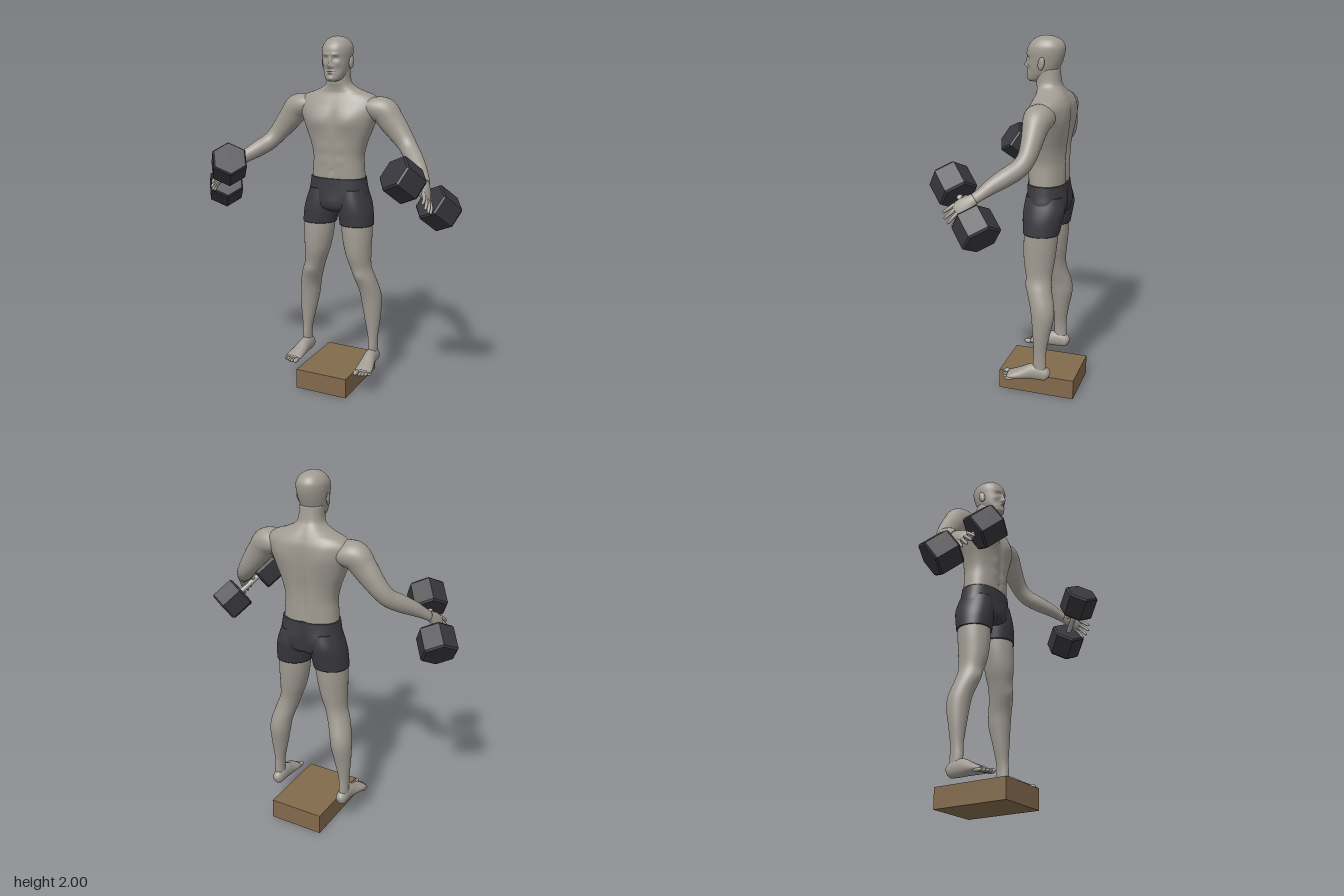
import * as THREE from 'three';

const V = (x, y, z) => new THREE.Vector3(x, y, z);
const material = (name, color) => Object.assign(new THREE.MeshStandardMaterial({ color }), { name });

// Smoothly resample rows of numbers (Catmull-Rom on every column)
function resample(rows, steps) {
  const out = [], last = rows.length - 1;
  const row = i => rows[Math.min(last, Math.max(0, i))];
  for (let k = 0; k <= steps; k++) {
    const t = (k / steps) * last, i = Math.min(last - 1, Math.floor(t)), f = t - i;
    out.push(row(i).map((b, c) => {
      const a = row(i - 1)[c], d = row(i + 1)[c], e = row(i + 2)[c];
      return b + 0.5 * f * (d - a + f * (2 * a - 5 * b + 4 * d - e + f * (3 * (b - d) + e - a)));
    }));
  }
  return out;
}

// Closed skin over rings of points
function skinRings(rings) {
  const n = rings[0].length, m = rings.length, points = rings.flat(), index = [];
  for (let i = 0; i < m - 1; i++) for (let j = 0; j < n; j++) {
    const a = i * n + j, b = i * n + (j + 1) % n;
    index.push(a, a + n, b, a + n, b + n, b);
  }
  [0, m - 1].forEach(r => {
    const c = points.length, base = r * n;
    points.push(rings[r].reduce((s, p) => s.add(p), V(0, 0, 0)).divideScalar(n));
    for (let j = 0; j < n; j++) {
      const a = base + j, b = base + (j + 1) % n;
      r ? index.push(c, b, a) : index.push(c, a, b);
    }
  });
  const g = new THREE.BufferGeometry().setFromPoints(points);
  g.setIndex(index);
  g.computeVertexNormals();
  return g;
}

// Upright form, sections [y, centre x, half width, front z, back z];
// bumps [x, y, spread x, spread y, amount, 1 front / -1 back] model the surface
function upright(sections, { steps = 40, sides = 48, power = 2, bumps = [] } = {}) {
  return skinRings(resample(sections, steps).map(([y, cx, rx, zf, zb]) =>
    Array.from({ length: sides }, (_, j) => {
      const a = (j / sides) * Math.PI * 2, c = Math.cos(a), s = Math.sin(a);
      const round = v => Math.sign(v) * Math.abs(v) ** (2 / power);
      const p = V(cx + rx * round(c), y, (zf + zb) / 2 + (zf - zb) / 2 * round(s));
      for (const [bx, by, sx, sy, amount, face] of bumps) {
        const u = (Math.abs(p.x) - bx) / sx, v = (y - by) / sy;
        p.z += face * amount * Math.max(0, s * face) * Math.exp(-u * u - v * v);
      }
      return p;
    })));
}

// Limb along a path, sections [x, y, z, radius, radius along ref]
function limb(sections, ref, steps = 28, sides = 24) {
  const rows = resample(sections, steps), at = r => V(r[0], r[1], r[2]);
  return skinRings(rows.map((r, i) => {
    const T = at(rows[Math.min(steps, i + 1)]).sub(at(rows[Math.max(0, i - 1)])).normalize();
    const U = T.clone().cross(ref).normalize(), W = U.clone().cross(T);
    return Array.from({ length: sides }, (_, j) => {
      const a = (j / sides) * Math.PI * 2;
      return at(r).addScaledVector(U, r[3] * Math.cos(a)).addScaledVector(W, r[4] * Math.sin(a));
    });
  }));
}

function mirrored(g) {
  const m = g.clone().scale(-1, 1, 1), ix = m.index.array;
  for (let i = 0; i < ix.length; i += 3) [ix[i], ix[i + 1]] = [ix[i + 1], ix[i]];
  return m;
}

export function createModel() {
  const model = new THREE.Group();
  const skin = material('skin', 0xa09b92), cloth = material('shorts cloth', 0x3a393f);
  const iron = material('dark rubber', 0x38373d), steel = material('handle steel', 0xa6a6a2);
  const wood = material('wood', 0x826a4c);
  const add = (name, g, mat) => {
    const mesh = new THREE.Mesh(g, mat);
    mesh.name = name;
    model.add(mesh);
  };
  const pair = (name, g, mat) => {
    add(name + 'Left', g, mat);
    add(name + 'Right', mirrored(g), mat);
  };

  // Wooden block
  add('block', new THREE.BoxGeometry(0.314, 0.115, 0.44).translate(0, 0.0575, -0.11), wood);

  // Torso and neck
  add('torso', upright([
    [1.2, 0, 0.156, -0.032, -0.235], [1.28, 0, 0.15, -0.03, -0.233], [1.35, 0, 0.147, -0.03, -0.233],
    [1.42, 0, 0.163, -0.026, -0.238], [1.48, 0, 0.186, -0.022, -0.246], [1.54, 0, 0.21, -0.022, -0.252],
    [1.6, 0, 0.235, -0.03, -0.255], [1.65, 0, 0.235, -0.048, -0.252], [1.685, 0, 0.2, -0.064, -0.238],
    [1.705, 0, 0.145, -0.07, -0.226], [1.73, 0, 0.09, -0.068, -0.21], [1.76, 0, 0.067, -0.062, -0.195],
    [1.83, 0, 0.062, -0.06, -0.185],
  ], {
    steps: 72, sides: 80, power: 2.3, bumps: [
      [0.095, 1.55, 0.075, 0.055, 0.016, 1], [0, 1.55, 0.018, 0.09, -0.008, 1],
      [0, 1.36, 0.012, 0.1, -0.006, 1], [0, 1.275, 0.01, 0.012, -0.008, 1],
      [0.05, 1.4, 0.03, 0.03, 0.004, 1], [0.05, 1.33, 0.03, 0.025, 0.004, 1],
      [0, 1.42, 0.022, 0.22, -0.016, -1], [0.12, 1.58, 0.06, 0.08, 0.01, -1],
      [0.055, 1.32, 0.03, 0.1, 0.006, -1],
    ],
  }), skin);

  // Head with modelled nose, brow, eye sockets, lips and chin
  add('head', upright([
    [1.763, 0, 0.022, -0.025, -0.085], [1.772, 0, 0.04, -0.013, -0.11], [1.795, 0, 0.055, -0.012, -0.15],
    [1.82, 0, 0.065, -0.014, -0.175], [1.85, 0, 0.072, -0.014, -0.19], [1.885, 0, 0.077, -0.013, -0.203],
    [1.92, 0, 0.08, -0.011, -0.211], [1.95, 0, 0.076, -0.02, -0.209], [1.978, 0, 0.058, -0.045, -0.188],
    [1.994, 0, 0.032, -0.075, -0.152], [2, 0, 0.003, -0.108, -0.114],
  ], {
    steps: 90, sides: 112, power: 2.15, bumps: [
      [0, 1.845, 0.011, 0.013, 0.019, 1], [0, 1.87, 0.008, 0.022, 0.012, 1],
      [0.013, 1.84, 0.007, 0.007, 0.007, 1], [0.031, 1.884, 0.015, 0.01, -0.011, 1],
      [0.031, 1.883, 0.008, 0.005, 0.005, 1], [0.027, 1.905, 0.024, 0.007, 0.005, 1],
      [0, 1.818, 0.02, 0.005, 0.007, 1], [0, 1.806, 0.018, 0.005, 0.007, 1],
      [0, 1.812, 0.02, 0.002, -0.005, 1], [0, 1.78, 0.018, 0.01, 0.005, 1],
      [0.045, 1.855, 0.014, 0.012, 0.004, 1], [0.04, 1.825, 0.014, 0.018, -0.005, 1],
    ],
  }), skin);
  pair('ear', new THREE.SphereGeometry(1, 16, 12).scale(0.009, 0.034, 0.019)
    .rotateX(-0.2).rotateY(-0.25).translate(0.083, 1.862, -0.108), skin);

  // Shorts
  add('shortsHips', upright([
    [1.04, 0, 0.05, -0.055, -0.2], [1.06, 0, 0.12, -0.03, -0.235], [1.09, 0, 0.172, -0.024, -0.243],
    [1.13, 0, 0.178, -0.023, -0.246], [1.18, 0, 0.169, -0.025, -0.243], [1.232, 0, 0.161, -0.027, -0.239],
  ], {
    power: 2.3, bumps: [[0.085, 1.13, 0.06, 0.06, 0.01, -1], [0, 1.11, 0.02, 0.07, -0.02, -1],
      [0, 1.09, 0.04, 0.04, 0.008, 1]],
  }), cloth);
  pair('shortsLeg', upright([
    [0.966, 0.115, 0.096, -0.027, -0.223], [1.04, 0.107, 0.097, -0.022, -0.239],
    [1.1, 0.099, 0.09, -0.024, -0.248], [1.17, 0.088, 0.076, -0.034, -0.235],
  ], { power: 2.1 }), cloth);

  // Legs
  pair('leg', upright([
    [0.16, 0.214, 0.028, -0.118, -0.188], [0.23, 0.215, 0.026, -0.112, -0.188],
    [0.3, 0.213, 0.03, -0.115, -0.187], [0.4, 0.207, 0.046, -0.108, -0.203],
    [0.5, 0.199, 0.058, -0.098, -0.223], [0.57, 0.19, 0.06, -0.086, -0.22],
    [0.65, 0.167, 0.061, -0.062, -0.201], [0.72, 0.144, 0.06, -0.05, -0.194],
    [0.8, 0.129, 0.073, -0.034, -0.203], [0.9, 0.12, 0.085, -0.03, -0.213],
    [1.0, 0.114, 0.09, -0.034, -0.218],
  ], { steps: 50, bumps: [[0.155, 0.67, 0.03, 0.03, 0.008, 1]] }), skin);

  // Feet and toes
  const up = V(0, 1, 0);
  pair('foot', limb([
    [0.213, 0.158, -0.205, 0.012, 0.018], [0.213, 0.163, -0.19, 0.029, 0.036],
    [0.213, 0.173, -0.15, 0.034, 0.047], [0.214, 0.172, -0.105, 0.036, 0.046],
    [0.219, 0.158, -0.05, 0.043, 0.033], [0.224, 0.147, 0, 0.049, 0.022],
    [0.225, 0.142, 0.03, 0.045, 0.014],
  ], up), skin);
  for (let i = 0; i < 5; i++) {
    const r = i ? 0.0095 : 0.014, x = i ? 0.2 + i * 0.0165 : 0.192;
    pair('toe', new THREE.SphereGeometry(1, 12, 10)
      .scale(r, r, 0.028).translate(x, 0.125 + r, 0.044 - 0.003 * i * i * 0.6), skin);
  }

  // Arms: shoulder, elbow, wrist
  pair('arm', limb([
    [0.16, 1.62, -0.145, 0.05, 0.07], [0.215, 1.615, -0.145, 0.066, 0.078],
    [0.265, 1.603, -0.145, 0.074, 0.074], [0.305, 1.555, -0.142, 0.07, 0.062],
    [0.35, 1.5, -0.14, 0.062, 0.053], [0.395, 1.445, -0.132, 0.052, 0.047],
    [0.432, 1.402, -0.108, 0.048, 0.046], [0.475, 1.367, -0.06, 0.046, 0.046],
    [0.525, 1.328, 0, 0.037, 0.039], [0.565, 1.293, 0.045, 0.025, 0.03],
    [0.583, 1.274, 0.072, 0.02, 0.028],
  ], V(0, 0.25, 1).normalize(), 50, 32), skin);

  // Hands with spread fingers across the grip
  const grip = V(0.578, 1.228, 0.125), axis = V(-0.495, 0.604, 0.623).normalize();
  const spread = V(-0.3, 0.68, 0.67).normalize();
  pair('palm', limb([
    [0.572, 1.285, 0.055, 0.018, 0.025], [0.588, 1.264, 0.085, 0.018, 0.032],
    [0.602, 1.242, 0.118, 0.016, 0.04], [0.614, 1.22, 0.15, 0.012, 0.038],
    [0.618, 1.212, 0.16, 0.006, 0.034],
  ], spread), skin);
  for (let i = 0; i < 4; i++) {
    const k = i - 1.5, long = 1 - 0.07 * k * k;
    const base = V(0.61, 1.224, 0.143).addScaledVector(spread, k * 0.02);
    const tip = V(0.634, 1.16, 0.204).addScaledVector(spread, k * 0.03);
    const p = t => base.clone().lerp(tip, t * long).add(V(0.008 * Math.sin(t * Math.PI), 0, 0)).toArray();
    pair('finger', limb([[...p(0), 0.01, 0.01], [...p(0.5), 0.009, 0.009],
      [...p(0.9), 0.007, 0.007], [...p(1), 0.002, 0.002]], spread, 12, 12), skin);
  }
  pair('thumb', limb([[0.585, 1.27, 0.085, 0.014, 0.014], [0.57, 1.272, 0.118, 0.012, 0.012],
    [0.557, 1.255, 0.15, 0.009, 0.009], [0.554, 1.245, 0.162, 0.003, 0.003]], up, 14, 12), skin);

  // Dumbbells: hexagonal heads with a slight end bevel, one corner upward
  const side = up.clone().cross(axis).normalize();
  const turn = new THREE.Matrix4().makeBasis(side, axis, side.clone().cross(axis)).setPosition(grip);
  const place = (g, along) => g.translate(0, along, 0).applyMatrix4(turn);
  pair('dumbbellHandle', place(new THREE.CylinderGeometry(0.015, 0.015, 0.16, 20), 0), steel);
  const hex = (top, bottom, height) => new THREE.CylinderGeometry(top, bottom, height, 6, 1);
  for (const end of [-1, 1]) {
    pair('dumbbellHead', place(hex(0.103, 0.103, 0.126), end * 0.137), iron);
    for (const face of [-1, 1])
      pair('dumbbellBevel', place(face > 0 ? hex(0.094, 0.103, 0.01) : hex(0.103, 0.094, 0.01),
        end * 0.137 + face * 0.068), iron);
  }
  // Crisp facets on the dumbbell heads
  model.traverse(o => {
    if (!o.isMesh || !/Head|Bevel/.test(o.name)) return;
    o.geometry = o.geometry.toNonIndexed();
    o.geometry.computeVertexNormals();
  });
  return model;
}
